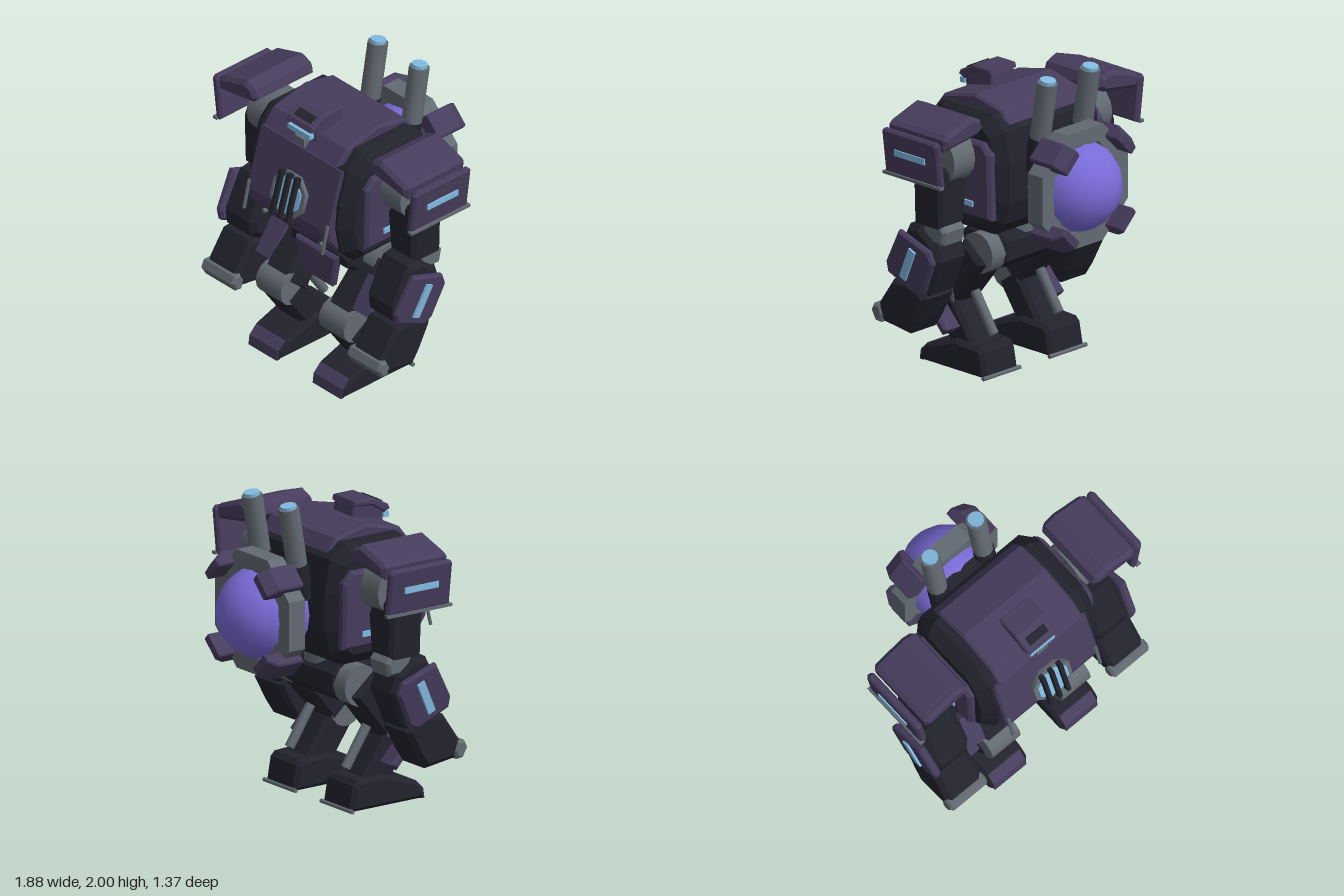
import * as THREE from 'three';

const paint = (name, color) => {
  const m = new THREE.MeshStandardMaterial({ color });
  m.name = name;
  return m;
};
const dark = paint('dark hull', 0x22222d);
const purple = paint('purple armour', 0x463c5c);
const grey = paint('grey metal', 0x626a72);
const blue = paint('blue glow', 0x80bbe0);
const violet = paint('violet dome', 0x7a6bd8);

export function createModel() {
  const root = new THREE.Group();
  root.name = 'walkingRobot';

  const add = (name, geo, mat, parent = root) => {
    const mesh = new THREE.Mesh(geo, mat);
    mesh.name = name;
    parent.add(mesh);
    return mesh;
  };
  // Bevelled prism centred on its depth axis
  const prism = (pts, depth, bevel) => {
    const shape = new THREE.Shape(pts.map(p => new THREE.Vector2(...p)));
    const geo = new THREE.ExtrudeGeometry(shape, {
      depth: depth - 2 * bevel, bevelEnabled: bevel > 0, bevelSegments: 1,
      bevelSize: bevel, bevelThickness: bevel, bevelOffset: -bevel,
    });
    return geo.translate(0, 0, bevel - depth / 2);
  };
  // Side outline [z, y] spanning x0..x1; lean shears it sideways with height
  const slab = (name, mat, pts, x0, x1, bevel = 0.02, lean = 0, y0 = 0) => {
    const geo = prism(pts, Math.abs(x1 - x0), bevel).rotateY(-Math.PI / 2).translate((x0 + x1) / 2, 0, 0);
    const p = geo.attributes.position;
    if (lean) {
      for (let i = 0; i < p.count; i++) p.setX(i, p.getX(i) + lean * (p.getY(i) - y0));
      geo.computeVertexNormals();
    }
    return add(name, geo, mat);
  };
  // Front outline [x, y] spanning z0..z1
  const panel = (name, mat, pts, z0, z1, bevel = 0.02) =>
    add(name, prism(pts, z1 - z0, bevel).translate(0, 0, (z0 + z1) / 2), mat);
  const box = (name, mat, w, h, d, x, y, z, parent) =>
    add(name, new THREE.BoxGeometry(w, h, d).translate(x, y, z), mat, parent);
  // Outline of a straight limb from a to b in [z, y]
  const beam = ([az, ay], [bz, by], w) => {
    const l = Math.hypot(bz - az, by - ay), u = -(by - ay) / l * w / 2, v = (bz - az) / l * w / 2;
    return [[az + u, ay + v], [bz + u, by + v], [bz - u, by - v], [az - u, ay - v]];
  };
  const rod = (name, mat, a, b, r, sides = 12) => {
    const A = new THREE.Vector3(...a), B = new THREE.Vector3(...b), d = B.clone().sub(A);
    const mesh = add(name, new THREE.CylinderGeometry(r, r, d.length(), sides), mat);
    mesh.position.copy(A).add(B).multiplyScalar(0.5);
    mesh.quaternion.setFromUnitVectors(new THREE.Vector3(0, 1, 0), d.normalize());
    return mesh;
  };

  // Torso and its armour
  slab('torso', dark, [[0.42, 0.965], [0.52, 1.06], [0.555, 1.25], [0.54, 1.42], [0.47, 1.64], [0.36, 1.75],
    [-0.06, 1.75], [-0.17, 1.66], [-0.21, 1.45], [-0.21, 1.2], [-0.16, 1.05], [-0.08, 0.965]], -0.475, 0.475, 0.075);
  slab('chestPlate', purple, [[0.49, 1.64], [0.61, 1.23], [0.6, 1.16], [0.49, 1.01], [0.44, 1.04],
    [0.5, 1.25], [0.43, 1.62]], -0.38, 0.38, 0.015);
  slab('topPlate', purple, [[0.5, 1.66], [0.42, 1.76], [0.15, 1.82], [-0.08, 1.77], [-0.15, 1.67],
    [-0.1, 1.66], [0.15, 1.7], [0.42, 1.65]], -0.345, 0.345, 0.015);

  // Chest reactor with guard bars
  const reactor = new THREE.Group();
  reactor.name = 'chestReactor';
  reactor.position.set(0, 1.33, 0.57);
  reactor.rotation.x = -0.29;
  root.add(reactor);
  const disc = (r, d, z) => new THREE.CylinderGeometry(r, r, d, 8).rotateY(Math.PI / 8).rotateX(Math.PI / 2).translate(0, 0, z);
  add('reactorRing', disc(0.158, 0.08, 0), grey, reactor);
  add('reactorGlow', disc(0.125, 0.02, 0.04), blue, reactor);
  for (const x of [-0.07, 0, 0.07]) box('reactorBar', dark, 0.028, 0.3, 0.04, x, 0, 0.06, reactor);

  // Head
  slab('head', purple, [[0.47, 1.79], [0.45, 1.68], [0.38, 1.65], [0.22, 1.7], [0.24, 1.87], [0.4, 1.87]], -0.105, 0.105, 0.01);
  slab('headBrim', purple, [[0.515, 1.81], [0.5, 1.84], [0.39, 1.898], [0.24, 1.898], [0.23, 1.865], [0.38, 1.85], [0.47, 1.79]],
    -0.118, 0.118, 0.01);
  box('visor', blue, 0.2, 0.035, 0.04, 0, 1.77, 0.495);
  slab('browVent', dark, beam([0.432, 1.88], [0.482, 1.853], 0.008), -0.075, 0.075, 0);
  box('chin', grey, 0.09, 0.06, 0.08, 0, 1.7, 0.47);

  // Back dome with clamped ring
  const dome = add('backDome', new THREE.SphereGeometry(0.3, 16, 10).rotateX(Math.PI / 2), violet);
  dome.position.set(0, 1.27, -0.385);
  const octagon = r => Array.from({ length: 8 }, (_, i) => {
    const a = (i + 0.5) * Math.PI / 4;
    return new THREE.Vector2(r * Math.cos(a), r * Math.sin(a));
  });
  const ringShape = new THREE.Shape(octagon(0.415));
  ringShape.holes.push(new THREE.Path(octagon(0.3)));
  add('domeRing', new THREE.ExtrudeGeometry(ringShape, { depth: 0.125, bevelEnabled: false }).translate(0, 1.27, -0.475), grey);
  for (let i = 0; i < 4; i++) {
    const clamp = slab('domeClamp', purple, [[-0.34, 0.33], [-0.34, 0.43], [-0.53, 0.43], [-0.6, 0.38], [-0.6, 0.33]], -0.085, 0.085, 0.01);
    clamp.position.y = 1.27;
    clamp.rotation.z = Math.PI / 4 + i * Math.PI / 2;
  }
  box('backMount', dark, 0.36, 0.4, 0.12, 0, 1.34, -0.22);

  // Pelvis
  slab('pelvis', dark, [[0.34, 0.86], [0.27, 0.92], [0.02, 0.92], [-0.04, 0.86], [-0.04, 0.74], [0.04, 0.67],
    [0.18, 0.68], [0.34, 0.8]], -0.28, 0.28, 0.03);
  rod('waist', grey, [0, 0.88, 0.15], [0, 1.0, 0.15], 0.18, 16);
  panel('pelvisFlap', purple, [[-0.19, 0.85], [0.19, 0.85], [0.145, 0.62], [-0.145, 0.62]], 0.31, 0.375, 0.015);

  for (const s of [-1, 1]) {
    // Torso fittings
    slab('sidePlate', purple, [[0.42, 1.09], [0.41, 1.52], [0.35, 1.59], [-0.08, 1.59], [-0.14, 1.52], [-0.15, 1.09]], s * 0.44, s * 0.52, 0.02);
    box('sideLight', blue, 0.02, 0.035, 0.29, s * 0.524, 1.18, 0.135);
    rod('chestRod', grey, [s * 0.36, 1.28, 0.6], [s * 0.36, 1.09, 0.645], 0.012, 6);
    rod('chestBolt', grey, [s * 0.26, 1.08, 0.53], [s * 0.26, 1.08, 0.575], 0.016, 8);

    // Exhaust stacks
    rod('exhaust', grey, [s * 0.19, 1.58, -0.265], [s * 0.19, 1.975, -0.332], 0.066, 10);
    rod('exhaustGlow', blue, [s * 0.19, 1.96, -0.33], [s * 0.19, 1.995, -0.336], 0.052, 10);
    rod('exhaustBase', dark, [s * 0.19, 1.38, -0.22], [s * 0.19, 1.6, -0.265], 0.07, 10);

    // Shoulder armour
    panel('shoulderPad', purple, [[0.86, 1.62], [0.87, 1.7], [0.84, 1.725], [0.62, 1.795], [0.54, 1.76], [0.515, 1.7],
      [0.56, 1.665]].map(([x, y]) => [s * x, y]), -0.105, 0.405, 0.025);
    const outer = [[0.39, 1.39], [0.39, 1.67], [0.37, 1.69], [-0.07, 1.69], [-0.09, 1.67], [-0.09, 1.39]];
    slab('shoulderPlate', purple, outer, s * 0.865, s * 0.92, 0.015, s * 0.13, 1.54);
    box('shoulderLight', blue, 0.03, 0.04, 0.26, s * 0.918, 1.55, 0.15);
    box('shoulderTrim', grey, 0.035, 0.018, 0.5, s * 0.895, 1.392, 0.15);

    // Arm
    rod('shoulderJoint', grey, [s * 0.515, 1.48, 0.14], [s * 0.705, 1.48, 0.14], 0.165, 16);
    rod('shoulderAxle', dark, [s * 0.44, 1.48, 0.14], [s * 0.53, 1.48, 0.14], 0.1);
    panel('upperArm', dark, [[0.7, 1.44], [0.765, 1.48], [0.79, 1.4], [0.78, 1.06], [0.56, 1.06], [0.535, 1.32],
      [0.6, 1.44]].map(([x, y]) => [s * x, y]), 0.02, 0.265, 0.025);
    slab('elbow', grey, [[0.2, 1.05], [0.14, 1.11], [0.06, 1.11], [0.0, 1.04], [0.02, 0.95], [0.16, 0.95]], s * 0.57, s * 0.77, 0.02);
    slab('forearm', dark, [[0.3, 1.04], [0.2, 1.06], [0.07, 0.96], [0.03, 0.84], [0.13, 0.6], [0.25, 0.57], [0.42, 0.69],
      [0.43, 0.79]], s * 0.515, s * 0.8, 0.04);
    slab('forearmPlate', purple, [[0.32, 1.01], [0.07, 0.92], [0.04, 0.84], [0.14, 0.62], [0.21, 0.595], [0.44, 0.7], [0.45, 0.77]],
      s * 0.785, s * 0.84, 0.015, s * 0.09, 0.8);
    slab('forearmLight', blue, beam([0.195, 0.905], [0.295, 0.695], 0.055), s * 0.838, s * 0.855, 0, s * 0.09, 0.8);
    slab('fist', dark, [[0.42, 0.65], [0.55, 0.46], [0.51, 0.35], [0.28, 0.32], [0.22, 0.41], [0.13, 0.58], [0.24, 0.67]],
      s * 0.53, s * 0.81, 0.03);
    slab('knuckleBar', grey, [[0.57, 0.46], [0.595, 0.41], [0.56, 0.35], [0.51, 0.345], [0.49, 0.4], [0.52, 0.46]],
      s * 0.52, s * 0.82, 0.015);

    // Leg
    rod('hipJoint', grey, [s * 0.25, 0.79, 0.1], [s * 0.375, 0.79, 0.1], 0.135, 14);
    slab('thigh', dark, beam([0.1, 0.8], [0.38, 0.46], 0.22), s * 0.17, s * 0.4, 0.03, s * 0.06, 0.5);
    slab('thighGuard', purple, beam([0.24, 0.77], [0.38, 0.57], 0.07), s * 0.36, s * 0.53, 0.015);
    rod('knee', grey, [s * 0.175, 0.465, 0.39], [s * 0.405, 0.465, 0.39], 0.115, 14);
    slab('shin', dark, beam([0.39, 0.45], [0.16, 0.12], 0.2), s * 0.175, s * 0.41, 0.03);
    slab('shinGuard', purple, beam([0.365, 0.41], [0.235, 0.27], 0.06), s * 0.36, s * 0.535, 0.015);
    rod('shinPiston', grey, [s * 0.29, 0.5, 0.2], [s * 0.29, 0.25, 0.035], 0.032, 8);

    // Foot
    slab('foot', dark, [[0.54, 0.005], [0.53, 0.065], [0.47, 0.125], [0.23, 0.21], [0.02, 0.2], [-0.01, 0.17], [-0.04, 0.005]],
      s * 0.14, s * 0.45, 0.025);
    slab('toeCap', purple, [[0.548, 0], [0.538, 0.068], [0.48, 0.125], [0.46, 0.11], [0.515, 0.055], [0.52, 0]],
      s * 0.165, s * 0.425, 0);
    rod('heelBar', grey, [s * 0.13, 0.014, -0.035], [s * 0.46, 0.014, -0.035], 0.014, 8);
  }
  return root;
}
